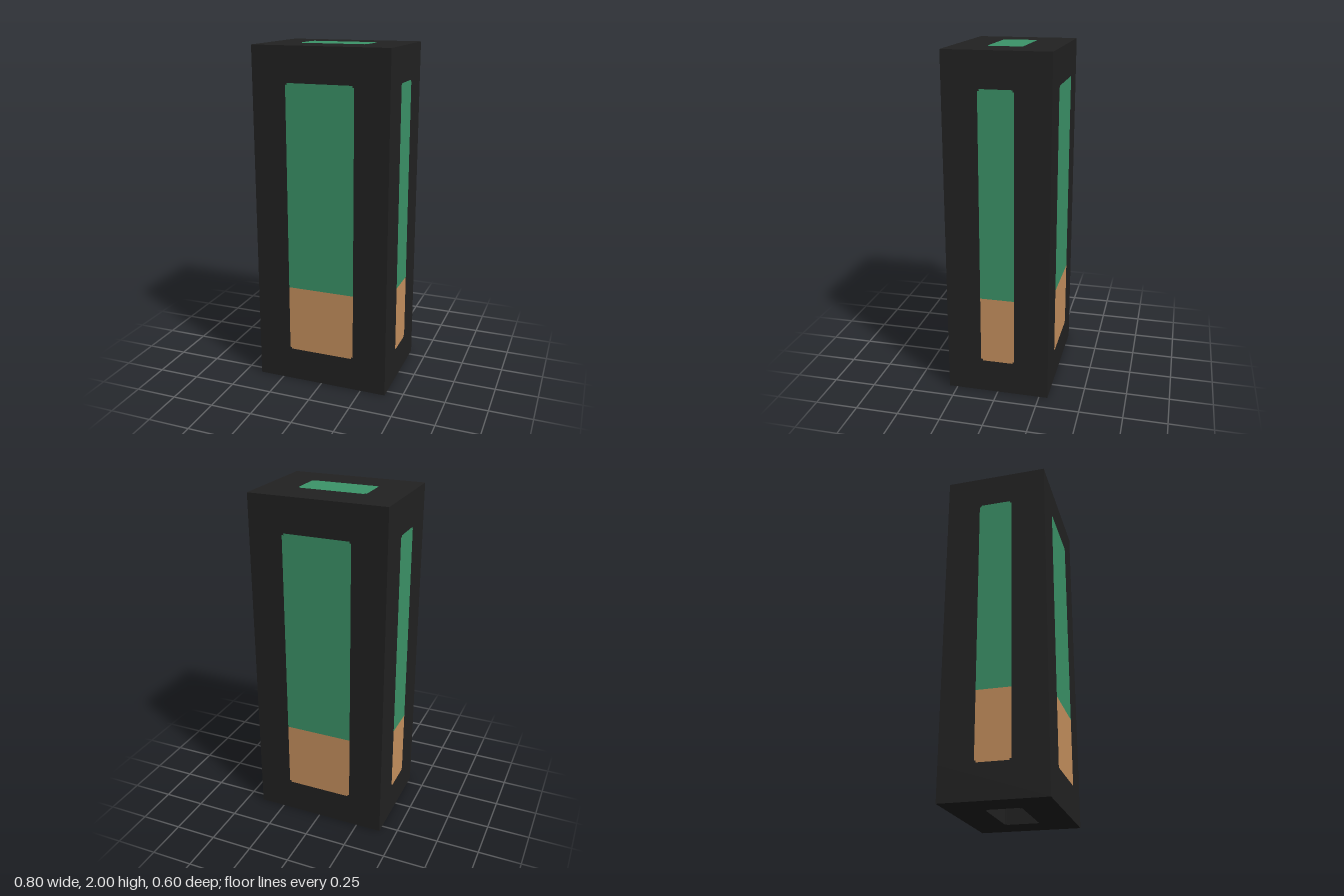
import * as THREE from 'three';

const W = 0.8, H = 2, D = 0.6, INSET = 0.2, SPLIT = 0.6, LIFT = 0.002, NOTCH = 0.01;

// Rectangle whose chosen corners have a tiny square step
function notchedRect(PathType, x0, x1, y0, y1, low, high) {
  const p = new PathType(), a = low ? NOTCH : 0, b = high ? NOTCH : 0;
  p.moveTo(x0 + a, y0);
  p.lineTo(x1 - a, y0);
  if (low) { p.lineTo(x1 - a, y0 + a); p.lineTo(x1, y0 + a); }
  p.lineTo(x1, y1 - b);
  if (high) { p.lineTo(x1 - b, y1 - b); p.lineTo(x1 - b, y1); }
  p.lineTo(x0 + b, y1);
  if (high) { p.lineTo(x0 + b, y1 - b); p.lineTo(x0, y1 - b); }
  p.lineTo(x0, y0 + a);
  if (low) { p.lineTo(x0 + a, y0 + a); }
  p.closePath();
  return p;
}

export function createModel() {
  const group = new THREE.Group();
  const material = (name, color) => {
    const m = new THREE.MeshStandardMaterial({ color });
    m.name = name;
    return m;
  };
  const dark = material('charcoal', 0x222222);
  const green = material('green', 0x3c9469);
  const orange = material('tan', 0xc8925f);

  const add = (name, geometry, mat, parent = group) => {
    const mesh = new THREE.Mesh(geometry, mat);
    mesh.name = name;
    parent.add(mesh);
    return mesh;
  };

  // Solid upper casing
  add('casing', new THREE.BoxGeometry(W, H - INSET, D), dark).position.y = (H + INSET) / 2;

  // Base with an open well underneath
  const hx = W / 2 - INSET, hz = D / 2 - INSET;
  const outline = notchedRect(THREE.Shape, -W / 2, W / 2, -D / 2, D / 2, false, false);
  outline.holes.push(notchedRect(THREE.Path, -hx, hx, -hz, hz, true, true));
  const base = new THREE.ExtrudeGeometry(outline, { depth: INSET, bevelEnabled: false });
  add('base', base.rotateX(-Math.PI / 2), dark);

  const plate = (x, y0, y1, low, high) =>
    new THREE.ShapeGeometry(notchedRect(THREE.Shape, -x, x, y0, y1, low, high));

  // Two-colour window on each of the four sides
  ['front', 'left', 'back', 'right'].forEach((side, i) => {
    const half = i % 2 ? hz : hx;
    const panel = new THREE.Group();
    panel.name = side + 'Window';
    panel.rotation.y = i * Math.PI / 2;
    add('upperPane', plate(half, SPLIT, H - INSET, false, true), green, panel);
    add('lowerPane', plate(half, INSET, SPLIT, true, false), orange, panel);
    panel.children.forEach(m => { m.position.z = (i % 2 ? W : D) / 2 + LIFT; });
    group.add(panel);
  });

  // Window on top and the ceiling of the well
  const top = add('topWindow', plate(hx, -hz, hz, true, true), green);
  top.rotation.x = -Math.PI / 2;
  top.position.y = H + LIFT;
  const ceiling = add('wellCeiling', plate(hx, -hz, hz, true, true), orange);
  ceiling.rotation.x = Math.PI / 2;
  ceiling.position.y = INSET - LIFT;

  return group;
}
